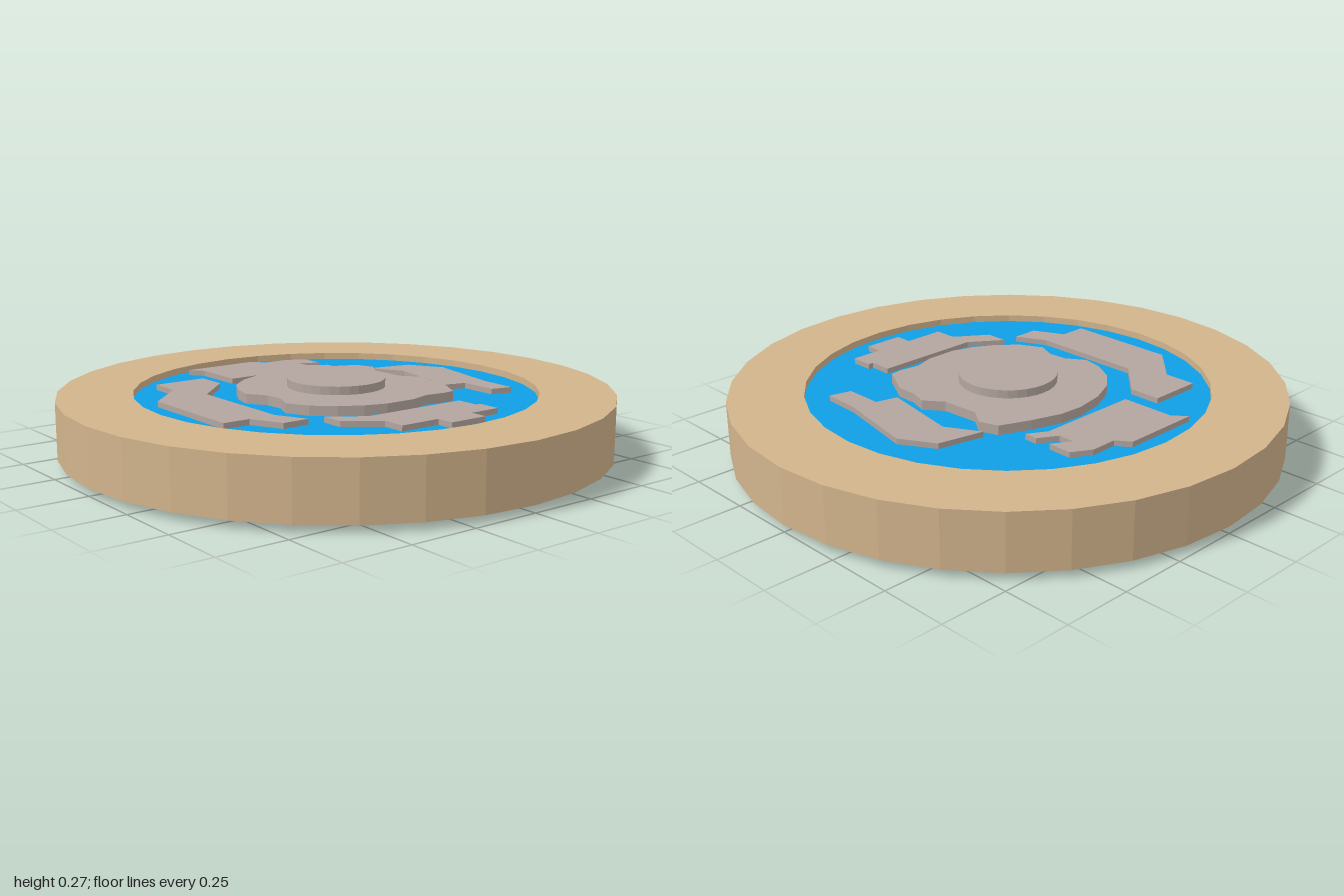
import * as THREE from 'three';

const SIDES = 32;
const material = (color) => new THREE.MeshStandardMaterial({ color, flatShading: true });

// Outlines as flat x, z pairs
const NORTH = [-0.245, -0.356, -0.21, -0.525, -0.085, -0.597, 0.22, -0.535, 0.36, -0.53,
  0.34, -0.45, 0.2, -0.45, 0.18, -0.37, -0.12, -0.425];
const EAST = [0.415, -0.22, 0.5, -0.22, 0.5, -0.24, 0.585, -0.24, 0.585, -0.12, 0.65, -0.12,
  0.65, 0.03, 0.585, 0.03, 0.585, 0.185, 0.5, 0.185, 0.415, 0.305, 0.33, 0.305, 0.415, 0.185];
const SOUTH = [-0.47, 0.275, -0.35, 0.275, -0.21, 0.42, 0.21, 0.42, 0.325, 0.365, 0.325, 0.465,
  0.21, 0.52, 0.21, 0.62, -0.21, 0.62, -0.35, 0.475, -0.47, 0.475];
const WEST = [-0.645, 0.23, -0.645, -0.065, -0.595, -0.1, -0.595, -0.2, -0.555, -0.27,
  -0.465, -0.27, -0.505, -0.2, -0.445, -0.2, -0.405, -0.27, -0.355, -0.27, -0.395, -0.2,
  -0.395, 0.19, -0.595, 0.19];
const CENTRE = [-0.27, -0.31, -0.2, -0.335, -0.135, -0.29, 0.005, -0.3, 0.07, -0.35, 0.14, -0.33,
  0.215, -0.33, 0.335, -0.265, 0.34, -0.22, 0.33, -0.14, 0.355, -0.065, 0.355, 0.055,
  0.33, 0.135, 0.285, 0.215, 0.22, 0.285, 0.14, 0.325, 0.07, 0.295, 0, 0.3, -0.07, 0.345,
  -0.14, 0.33, -0.225, 0.285, -0.29, 0.21, -0.335, 0.11, -0.355, 0, -0.35, -0.09, -0.315, -0.2];

// Flat plate with a given outline, standing between two heights
function plate(outline, y0, y1) {
  const points = [];
  for (let i = 0; i < outline.length; i += 2) {
    points.push(new THREE.Vector2(outline[i], -outline[i + 1]));
  }
  const geometry = new THREE.ExtrudeGeometry(new THREE.Shape(points),
    { depth: y1 - y0, bevelEnabled: false });
  return geometry.rotateX(-Math.PI / 2).translate(0, y0, 0);
}

function disc(radius, y0, y1) {
  return new THREE.CylinderGeometry(radius, radius, y1 - y0, SIDES).translate(0, (y0 + y1) / 2, 0);
}

export function createModel() {
  const model = new THREE.Group();
  model.name = 'roundEmblem';
  const tan = material(0xd2b48c);
  const blue = material(0x109fe6);
  const stone = material(0xb3a59f);

  const add = (name, geometry, mat) => {
    const mesh = new THREE.Mesh(geometry, mat);
    mesh.name = name;
    model.add(mesh);
  };

  // Outer ring, turned from a rectangular section
  const section = [[0.73, 0.025], [1, 0.025], [1, 0.23], [0.73, 0.23], [0.73, 0.025]];
  add('outerRing', new THREE.LatheGeometry(
    section.map(([r, y]) => new THREE.Vector2(r, y)), SIDES), tan);

  // Blue base: wide foot below, recessed face inside the ring
  add('baseFoot', disc(0.785, 0, 0.03), blue);
  add('baseFace', disc(0.735, 0.03, 0.205), blue);

  // Four low plates around the centre
  const plates = { backPlate: NORTH, leftPlate: EAST, frontPlate: SOUTH, rightPlate: WEST };
  for (const [name, outline] of Object.entries(plates)) {
    add(name, plate(outline, 0.2, 0.225), stone);
  }

  // Raised centre with its round hub
  add('centrePlate', plate(CENTRE, 0.2, 0.24), stone);
  add('hub', disc(0.178, 0.235, 0.27), stone);

  return model;
}
